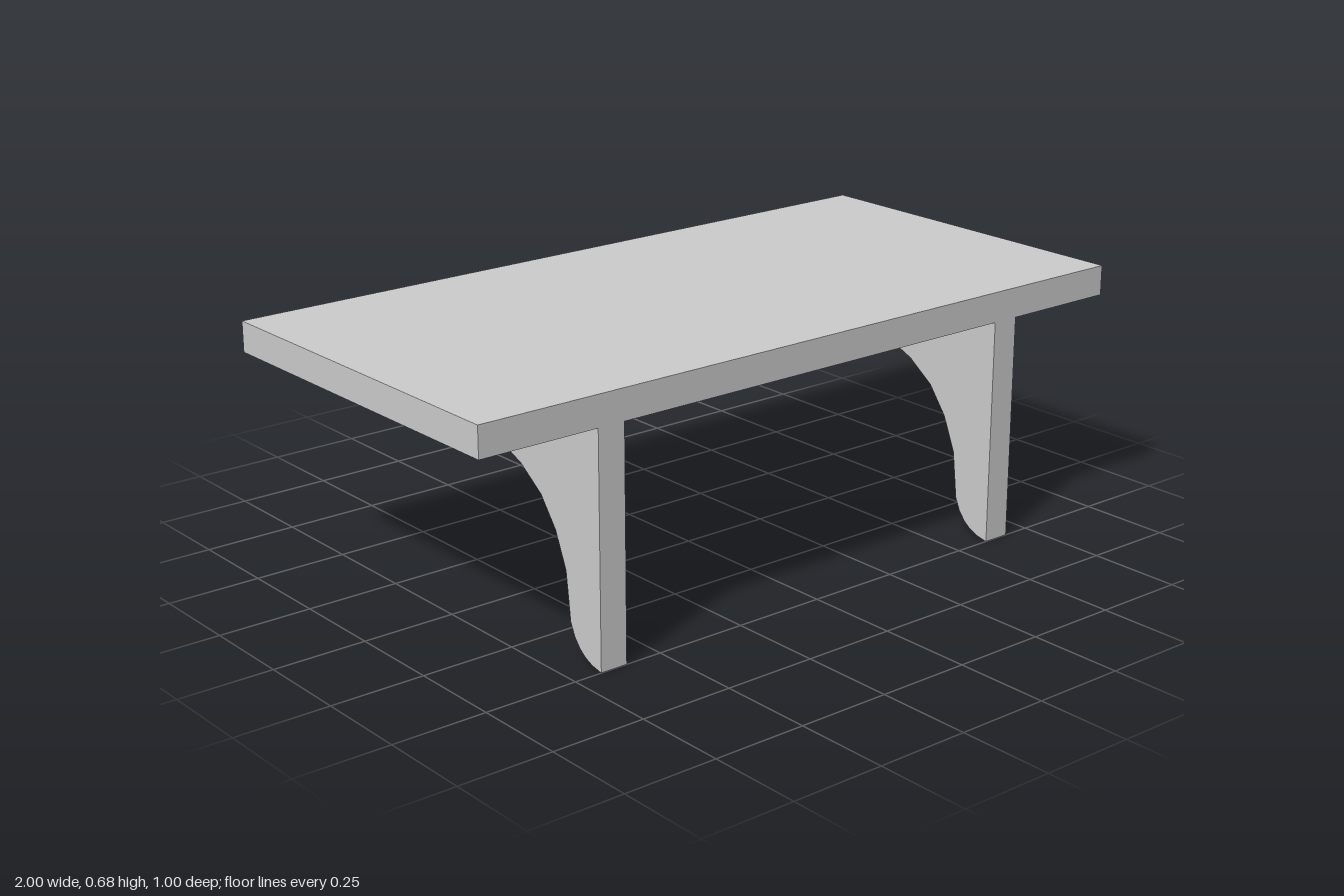
import * as THREE from 'three';
import { toCreasedNormals } from 'three/addons/utils/BufferGeometryUtils.js';

const BOARD_BOTTOM = 0.6, BOARD_THICKNESS = 0.08;
const BRACKET_WIDTH = 0.075, BRACKET_X = 0.6375;

// Bracket side profile as (z, y): rounded foot, sweeping hollow, rounded tip
const PROFILE = [
  [0.5, BOARD_BOTTOM], [0.5, 0],
  [0.465, 0.007], [0.44, 0.018], [0.42, 0.033], [0.4, 0.057], [0.385, 0.09],
  [0.37, 0.215], [0.332, 0.305], [0.277, 0.378], [0.2, 0.433], [0.115, 0.468], [0.02, 0.482],
  [-0.18, 0.482], [-0.208, 0.486], [-0.24, 0.499], [-0.264, 0.517], [-0.283, 0.541], [-0.295, 0.57],
  [-0.3, BOARD_BOTTOM],
];

function bracketGeometry() {
  const shape = new THREE.Shape(PROFILE.map(([z, y]) => new THREE.Vector2(z, y)));
  const geometry = new THREE.ExtrudeGeometry(shape, { depth: BRACKET_WIDTH, bevelEnabled: false });
  geometry.translate(0, 0, -BRACKET_WIDTH / 2);
  geometry.rotateY(-Math.PI / 2); // profile x becomes model z
  return toCreasedNormals(geometry, 0.6);
}

export function createModel() {
  const group = new THREE.Group();
  group.name = 'shelf';
  const material = new THREE.MeshStandardMaterial({ color: 0xcccccc });

  // Flat board
  const board = new THREE.Mesh(new THREE.BoxGeometry(2, BOARD_THICKNESS, 1), material);
  board.name = 'board';
  board.position.y = BOARD_BOTTOM + BOARD_THICKNESS / 2;
  group.add(board);

  // Pair of curved brackets
  const geometry = bracketGeometry();
  for (const [name, side] of [['leftBracket', 1], ['rightBracket', -1]]) {
    const bracket = new THREE.Mesh(geometry, material);
    bracket.name = name;
    bracket.position.x = side * BRACKET_X;
    group.add(bracket);
  }
  return group;
}
